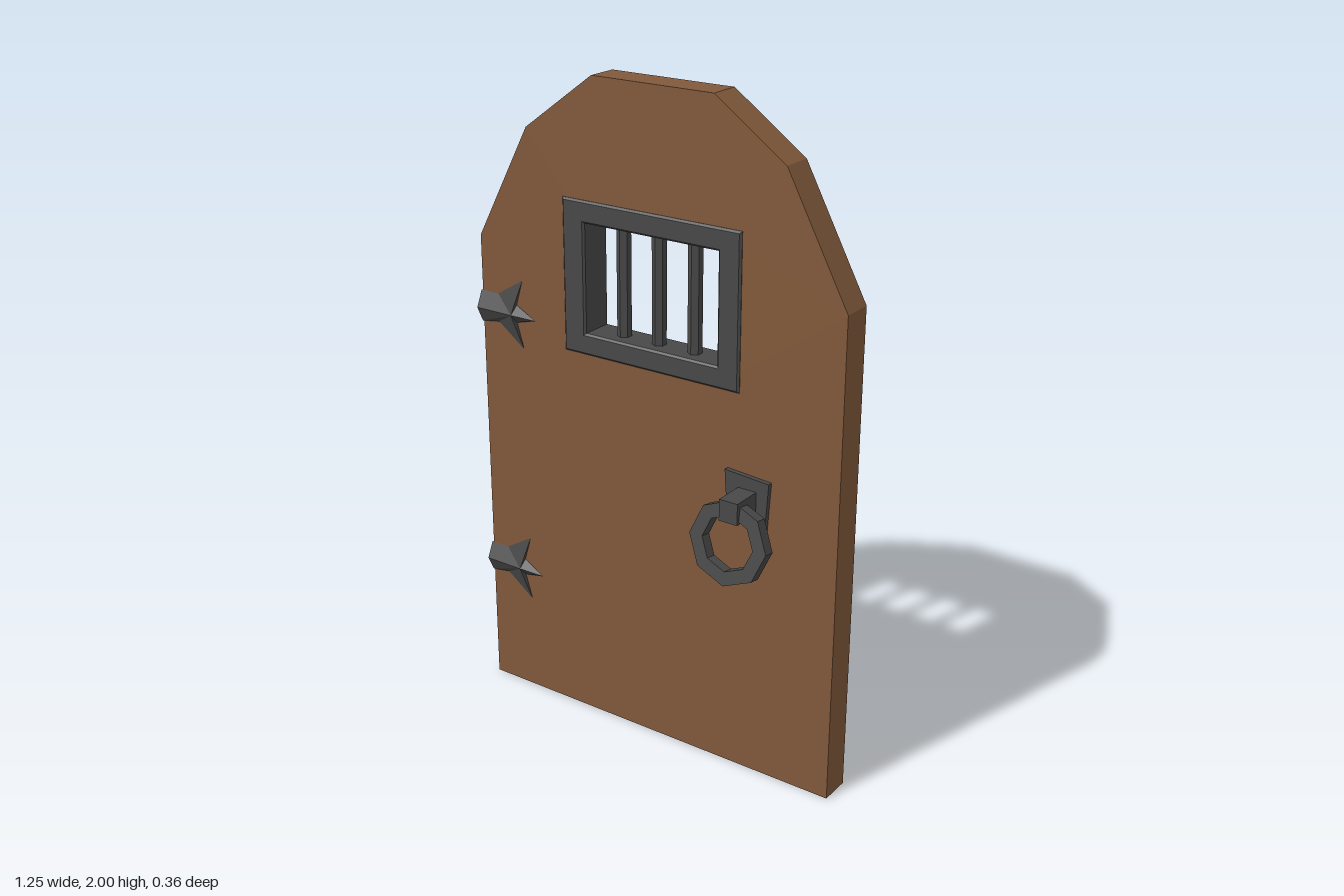
import * as THREE from 'three';

const wood = new THREE.MeshStandardMaterial({ color: 0x80593b, flatShading: true });
const iron = new THREE.MeshStandardMaterial({ color: 0x484848, flatShading: true });

function add(parent, name, geometry, material) {
  const mesh = new THREE.Mesh(geometry, material);
  mesh.name = name;
  parent.add(mesh);
  return mesh;
}

const polygon = (points) => points.map(([x, y]) => new THREE.Vector2(x, y));
const rect = (x0, y0, x1, y1) => polygon([[x0, y0], [x1, y0], [x1, y1], [x0, y1]]);
const octagon = (r) => Array.from({ length: 8 }, (_, i) =>
  new THREE.Vector2(r * Math.cos(i * Math.PI / 4), r * Math.sin(i * Math.PI / 4)));

// Flat plate with an optional hole, centred on z = 0
function plate(outline, hole, depth, bevel = 0) {
  const shape = new THREE.Shape(outline);
  if (hole) shape.holes.push(new THREE.Path(hole));
  const geometry = new THREE.ExtrudeGeometry(shape, {
    depth: depth - 2 * bevel, bevelEnabled: bevel > 0, bevelThickness: bevel,
    bevelSize: bevel, bevelOffset: -bevel, bevelSegments: 1,
  });
  return geometry.translate(0, 0, bevel - depth / 2);
}

// Three-pointed hinge strap: facets fan out from a raised hub
function hingeGeometry() {
  const low = 0, high = 0.023;
  const hub = [-0.495, 0, high];
  const rim = [
    [-0.625, 0, high], [-0.625, -0.048, low], [-0.56, -0.038, low], [-0.466, -0.107, low],
    [-0.49, -0.027, low], [-0.402, 0, high - 0.002], [-0.49, 0.027, low],
    [-0.466, 0.107, low], [-0.56, 0.05, low], [-0.625, 0.05, low],
  ];
  const positions = [];
  rim.forEach((p, i) => positions.push(...hub, ...p, ...rim[(i + 1) % rim.length]));
  // Closed outer end and underside of the tip
  positions.push(...rim[0], ...rim[9], ...rim[1]);
  positions.push(...rim[4], ...rim[6], ...rim[5]);
  const geometry = new THREE.BufferGeometry();
  geometry.setAttribute('position', new THREE.Float32BufferAttribute(positions, 3));
  geometry.computeVertexNormals();
  return geometry;
}

// Backing plate, stem and hanging ring
function createHandle() {
  const handle = new THREE.Group();
  handle.name = 'ringHandle';
  const backing = polygon([[0.27, 0.82], [0.395, 0.8], [0.405, 0.95], [0.26, 0.96]]);
  add(handle, 'handlePlate', plate(backing, null, 0.02), iron).position.z = 0.053;
  add(handle, 'handleStem', new THREE.BoxGeometry(0.06, 0.065, 0.1), iron)
    .position.set(0.335, 0.884, 0.108);
  const ring = add(handle, 'handleRing', plate(octagon(0.126), octagon(0.083), 0.036), iron);
  ring.position.set(0.335, 0.787, 0.143);
  ring.rotation.x = -0.15;
  return handle;
}

export function createModel() {
  const door = new THREE.Group();
  door.name = 'door';

  // Door leaf with window opening
  const outline = polygon([
    [-0.62, 0], [0.62, 0], [0.62, 1.48], [0.425, 1.842],
    [0.2, 2], [-0.2, 2], [-0.435, 1.828], [-0.62, 1.483],
  ]);
  add(door, 'doorLeaf', plate(outline, rect(-0.26, 1.225, 0.25, 1.615), 0.096), wood);

  // Window frame and bars
  add(door, 'windowFrame',
    plate(rect(-0.307, 1.19, 0.295, 1.648), rect(-0.23, 1.255, 0.222, 1.582), 0.11, 0.006), iron);
  for (const x of [-0.13, -0.008, 0.114]) {
    add(door, 'windowBar', new THREE.CylinderGeometry(0.021, 0.021, 0.34, 6), iron)
      .position.set(x, 1.418, 0);
  }

  // Hinges and handle on both faces
  const hinge = hingeGeometry();
  for (const side of [1, -1]) {
    const fittings = new THREE.Group();
    fittings.name = side > 0 ? 'frontFittings' : 'backFittings';
    for (const y of [0.421, 1.262]) {
      add(fittings, 'hinge', hinge, iron).position.set(0, y, 0.049);
    }
    fittings.add(createHandle());
    fittings.scale.z = side;
    door.add(fittings);
  }
  return door;
}
